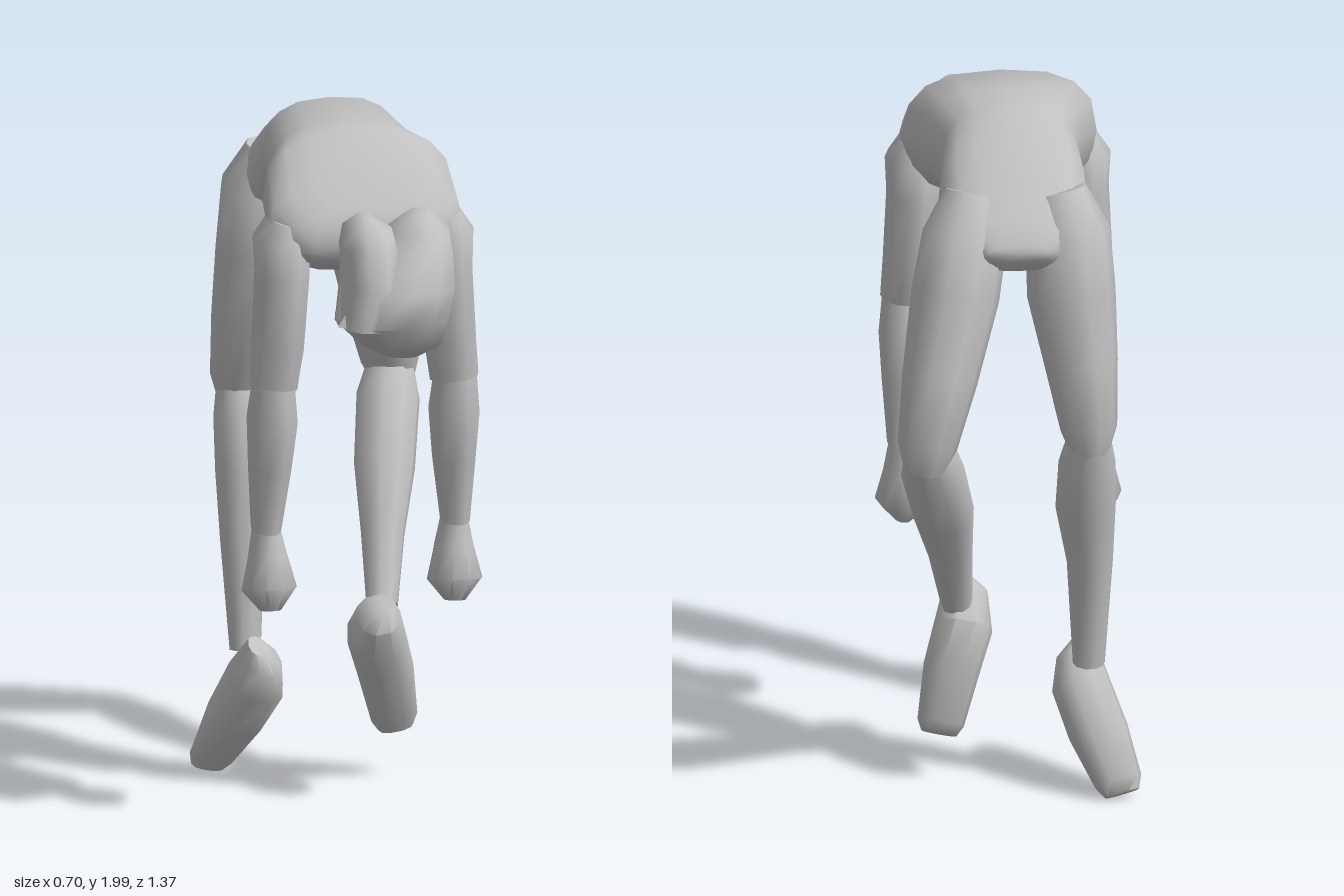
import * as THREE from 'three';
import { toCreasedNormals } from 'three/addons/utils/BufferGeometryUtils.js';
import { ConvexGeometry } from 'three/addons/geometries/ConvexGeometry.js';

const grey = new THREE.MeshStandardMaterial({ color: 0xc0c0c0 });
grey.name = 'plain grey';

// Skin a chain of sections [x, y, z, halfWidth, halfDepth]; each ring faces along the path,
// or along a fixed direction if one is given. A power below 1 makes the rings boxier.
function loft(sections, { sides = 10, power = 1, dir = null } = {}) {
  const centres = sections.map(s => new THREE.Vector3(s[0], s[1], s[2]));
  const pos = [], index = [], n = sections.length;
  const bend = c => Math.sign(c) * Math.pow(Math.abs(c), power);
  sections.forEach((s, i) => {
    const t = dir ? dir.clone() : centres[Math.min(i + 1, n - 1)].clone().sub(centres[Math.max(i - 1, 0)]).normalize();
    const u = new THREE.Vector3(1, 0, 0).addScaledVector(t, -t.x).normalize();
    const v = new THREE.Vector3().crossVectors(t, u);
    for (let j = 0; j < sides; j++) {
      const a = (j / sides) * Math.PI * 2;
      const p = centres[i].clone()
        .addScaledVector(u, bend(Math.cos(a)) * s[3])
        .addScaledVector(v, bend(Math.sin(a)) * s[4]);
      pos.push(p.x, p.y, p.z);
    }
  });
  const first = n * sides, last = first + 1, end = (n - 1) * sides;
  pos.push(...centres[0].toArray(), ...centres[n - 1].toArray());
  for (let j = 0; j < sides; j++) {
    const k = (j + 1) % sides;
    for (let i = 0; i < n - 1; i++) {
      const a = i * sides + j, b = i * sides + k;
      index.push(a, b, b + sides, a, b + sides, a + sides);
    }
    index.push(first, k, j, last, end + j, end + k);
  }
  const g = new THREE.BufferGeometry();
  g.setAttribute('position', new THREE.Float32BufferAttribute(pos, 3));
  g.setIndex(index);
  return toCreasedNormals(g, 1.0);
}

const up = new THREE.Vector3(0, 1, 0), back = new THREE.Vector3(0, 0, -1);

export function createModel() {
  const model = new THREE.Group();
  model.name = 'archedFigure';
  const add = (name, geometry) => {
    const mesh = new THREE.Mesh(geometry, grey);
    mesh.name = name;
    model.add(mesh);
  };

  // Torso: rows of z, lowest y, highest y, half width, from neck to groin
  const rows = [
    [0.325, 1.66, 1.76, 0.17], [0.30, 1.64, 1.80, 0.225], [0.24, 1.61, 1.865, 0.28],
    [0.13, 1.61, 1.985, 0.272], [0.0, 1.65, 1.985, 0.222], [-0.2, 1.70, 2.0, 0.19],
    [-0.31, 1.60, 1.935, 0.21], [-0.42, 1.59, 1.845, 0.205], [-0.50, 1.62, 1.77, 0.16],
    [-0.56, 1.67, 1.715, 0.09],
  ];
  add('torso', loft(rows.map(([z, lo, hi, w]) => [0, (lo + hi) / 2, z, w, (hi - lo) / 2]),
    { sides: 16, power: 0.75, dir: back }));

  // Neck and head, hanging backwards and turned to one side
  add('neck', loft([[0, 1.71, 0.26, 0.08, 0.07], [0.01, 1.66, 0.44, 0.08, 0.08]]));
  add('skull', loft([
    [0.05, 1.42, 0.48, 0.05, 0.045], [0.045, 1.455, 0.485, 0.115, 0.105], [0.01, 1.54, 0.515, 0.165, 0.17],
    [0.03, 1.63, 0.505, 0.165, 0.18], [0.075, 1.71, 0.475, 0.12, 0.155], [0.10, 1.78, 0.465, 0.085, 0.12],
    [0.10, 1.83, 0.47, 0.03, 0.04],
  ], { sides: 12, dir: up }));
  add('face', loft([
    [-0.075, 1.53, 0.53, 0.075, 0.13], [-0.055, 1.65, 0.515, 0.075, 0.15], [-0.05, 1.74, 0.485, 0.078, 0.13],
    [-0.05, 1.79, 0.475, 0.068, 0.11], [-0.06, 1.825, 0.47, 0.02, 0.04],
  ], { power: 0.85, dir: up }));
  add('nose', toCreasedNormals(new ConvexGeometry([
    [-0.10, 1.62, 0.56], [-0.10, 1.53, 0.63], [-0.16, 1.535, 0.58], [-0.10, 1.51, 0.50],
  ].map(p => new THREE.Vector3(...p))), 0.7));

  // Arms hang straight down on both sides
  for (const [side, s] of [['left', 1], ['right', -1]]) {
    const limb = (name, sections) => add(side + name, loft(sections.map(([x, ...r]) => [s * x, ...r])));
    limb('UpperArm', [
      [0.225, 1.762, 0.21, 0.05, 0.08], [0.235, 1.70, 0.205, 0.083, 0.112], [0.235, 1.60, 0.21, 0.078, 0.115],
      [0.248, 1.40, 0.21, 0.075, 0.115], [0.26, 1.28, 0.215, 0.07, 0.077],
    ]);
    limb('Forearm', [
      [0.262, 1.31, 0.22, 0.06, 0.07], [0.262, 1.18, 0.205, 0.073, 0.10],
      [0.265, 1.05, 0.19, 0.063, 0.085], [0.272, 0.86, 0.17, 0.042, 0.07],
    ]);
    limb('Hand', [
      [0.272, 0.88, 0.17, 0.035, 0.06], [0.268, 0.78, 0.175, 0.057, 0.075],
      [0.267, 0.69, 0.19, 0.08, 0.085], [0.265, 0.63, 0.20, 0.03, 0.045],
    ]);
  }

  // Legs: each bent differently
  const legs = {
    left: {
      Thigh: [
        [0.12, 1.815, -0.385, 0.08, 0.07], [0.145, 1.70, -0.42, 0.12, 0.135], [0.175, 1.54, -0.458, 0.125, 0.147],
        [0.225, 1.32, -0.535, 0.107, 0.125], [0.265, 1.14, -0.59, 0.085, 0.098], [0.272, 1.07, -0.585, 0.06, 0.07],
      ],
      Shin: [
        [0.27, 1.14, -0.60, 0.06, 0.07], [0.245, 1.04, -0.53, 0.09, 0.10], [0.205, 0.87, -0.405, 0.087, 0.087],
        [0.175, 0.70, -0.30, 0.062, 0.065], [0.15, 0.52, -0.20, 0.045, 0.055],
      ],
    },
    right: {
      Thigh: [
        [-0.12, 1.815, -0.385, 0.08, 0.07], [-0.145, 1.70, -0.41, 0.12, 0.135], [-0.155, 1.52, -0.415, 0.125, 0.142],
        [-0.18, 1.32, -0.455, 0.103, 0.122], [-0.198, 1.14, -0.49, 0.08, 0.095], [-0.20, 1.07, -0.495, 0.055, 0.065],
      ],
      Shin: [
        [-0.20, 1.14, -0.50, 0.055, 0.07], [-0.195, 1.03, -0.46, 0.08, 0.09], [-0.195, 0.88, -0.415, 0.085, 0.085],
        [-0.21, 0.70, -0.38, 0.065, 0.065], [-0.21, 0.38, -0.345, 0.045, 0.045],
      ],
    },
  };
  for (const [side, parts] of Object.entries(legs))
    for (const [name, sections] of Object.entries(parts)) add(side + name, loft(sections));

  // Feet, pointing down from the heel to the toes
  add('leftFoot', loft([
    [0.125, 0.55, -0.085, 0.03, 0.045], [0.115, 0.52, -0.095, 0.062, 0.08], [0.13, 0.435, -0.185, 0.083, 0.113],
    [0.165, 0.33, -0.222, 0.08, 0.08], [0.20, 0.18, -0.262, 0.066, 0.035], [0.205, 0.15, -0.265, 0.05, 0.02],
  ], { power: 0.9, dir: new THREE.Vector3(0.09, -0.36, -0.22).normalize() }));
  add('rightFoot', loft([
    [-0.20, 0.415, -0.23, 0.03, 0.04], [-0.185, 0.375, -0.245, 0.06, 0.072], [-0.19, 0.30, -0.30, 0.083, 0.095],
    [-0.235, 0.18, -0.37, 0.085, 0.072], [-0.285, 0.055, -0.435, 0.068, 0.037], [-0.295, 0.022, -0.447, 0.05, 0.02],
  ], { power: 0.9, dir: new THREE.Vector3(-0.11, -0.36, -0.22).normalize() }));

  return model;
}
